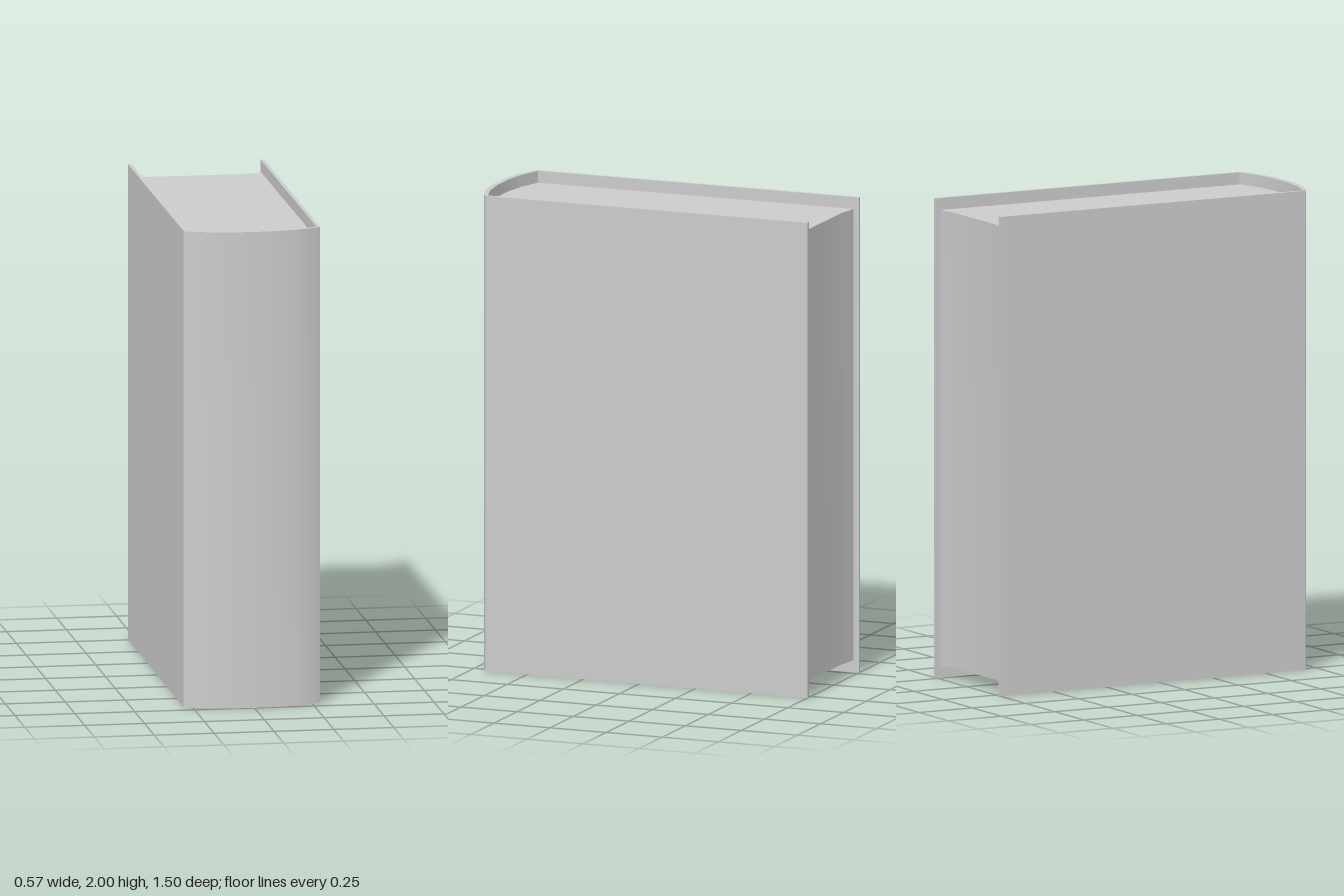
import * as THREE from 'three';
import { toCreasedNormals } from 'three/addons/utils/BufferGeometryUtils.js';

// Adds the mirror image of a half outline, giving a closed run of points [x, z]
const mirror = (half) => [...half, ...half.map(([x, z]) => [-x, z]).reverse()];

// Extrudes an outline seen from above from height y0 to y1
function upright(name, outline, y0, y1) {
  const shape = new THREE.Shape(outline.map(([x, z]) => new THREE.Vector2(x, -z)));
  const extruded = new THREE.ExtrudeGeometry(shape, { depth: y1 - y0, bevelEnabled: false });
  extruded.rotateX(-Math.PI / 2).translate(0, y0, 0);
  const mesh = new THREE.Mesh(
    toCreasedNormals(extruded, 0.42),
    new THREE.MeshStandardMaterial({ color: 0xcccccc })
  );
  mesh.name = name;
  return mesh;
}

export function createModel() {
  const book = new THREE.Group();
  book.name = 'book';

  const height = 2;
  const recess = 0.05;

  // Right half of the cover, from the back edge round to the middle of the spine
  const outer = [[0.285, -0.75], [0.285, 0.685], [0.25, 0.707], [0.17, 0.733], [0.06, 0.748]];
  const inner = [[0.27, -0.75], [0.27, 0.68], [0.17, 0.711], [0.06, 0.725]];

  // Two boards and the rounded spine as one thin wrap
  const coverOutline = [...mirror(outer), ...mirror(inner).reverse()];
  book.add(upright('cover', coverOutline, 0, height));

  // Page block: follows the spine in front, hollow fore edge at the back
  const pageHalf = [[0.17, -0.712], [0.27, -0.726], ...inner.slice(1)];
  book.add(upright('pages', mirror(pageHalf), recess, height - recess));

  return book;
}
